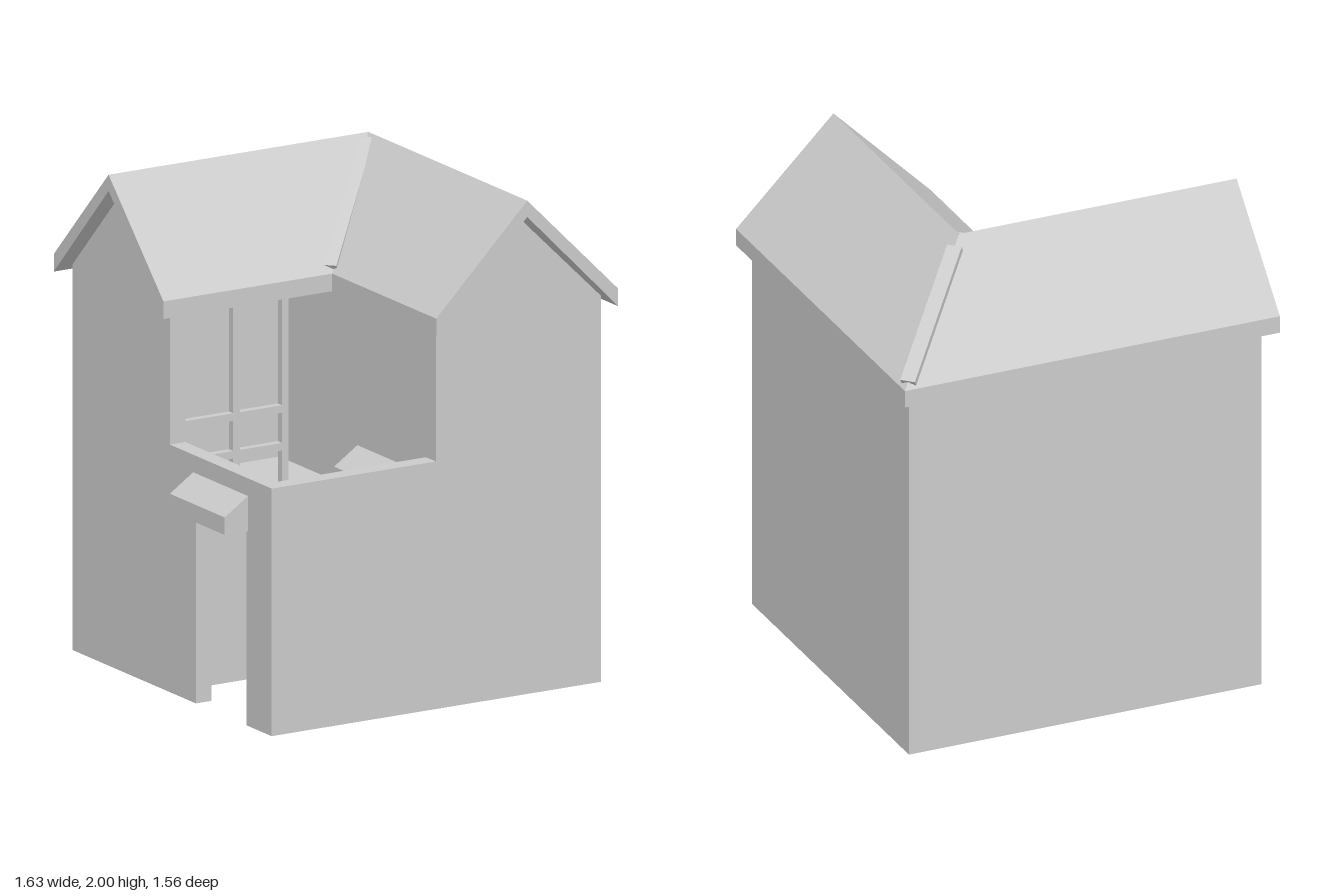
import * as THREE from 'three';

const mat = new THREE.MeshStandardMaterial({ color: 0xcccccc, flatShading: true, side: THREE.DoubleSide });

export function createModel() {
  const house = new THREE.Group();
  house.name = 'courtyardHouse';

  const add = (name, geometry) => {
    const mesh = new THREE.Mesh(geometry, mat);
    mesh.name = name;
    house.add(mesh);
    return mesh;
  };
  // Box given by its min and max on each axis
  const box = (name, x0, x1, y0, y1, z0, z1) =>
    add(name, new THREE.BoxGeometry(x1 - x0, y1 - y0, z1 - z0)
      .translate((x0 + x1) / 2, (y0 + y1) / 2, (z0 + z1) / 2));
  // Flat sheet facing z (points are x, y) or facing x (points are z, y)
  const sheet = (name, axis, at, points) => {
    const g = new THREE.ShapeGeometry(new THREE.Shape(points.map(p => new THREE.Vector2(...p))));
    if (axis === 'x') g.rotateY(-Math.PI / 2).translate(at, 0, 0);
    else g.translate(0, 0, at);
    return add(name, g);
  };
  const rect = (a0, a1, b0, b1) => [[a0, b0], [a1, b0], [a1, b1], [a0, b1]];

  const base = 0.015, top = 1.55, wallTop = 1.0, doorTop = 0.79;
  const W = -0.71, E = 0.775, N = -0.74, S = 0.712; // outer faces
  const cw = -0.64, ce = 0.03, cn = -0.03, cs = 0.64; // courtyard faces
  const d0 = 0.16, d1 = 0.53; // door sides in z

  // House shell, open underneath
  sheet('frontGable', 'z', S, [[ce, base], [E, base], [E, top], [0.4, 1.92], [ce, top]]);
  sheet('sideGable', 'x', W, [[N, base], [cn, base], [cn, top], [-0.38, 1.92], [N, top]]);
  sheet('rightWall', 'x', E, rect(N, S, base, top));
  sheet('backWall', 'z', N, rect(W, E, base, top));
  sheet('courtyardRightWall', 'x', ce, [[cn, base], [d0, base], [d0, doorTop], [d1, doorTop],
    [d1, base], [S, base], [S, top], [cn, top]]);
  sheet('courtyardBackWall', 'z', cn, rect(cw, ce, base, 0.75));
  sheet('galleryPier', 'z', cn, rect(W, cw, base, 1.55));

  // Courtyard wall with a gateway
  box('courtyardFrontWall', W, ce, base, wallTop, cs, S);
  box('gatePierFront', W, cw, base, wallTop, d1, cs);
  box('gatePierBack', W, cw, base, wallTop, cn, d0);
  box('gateLintel', W, cw, doorTop, wallTop, d0, d1);

  // Recessed house door with threshold
  sheet('houseDoor', 'x', 0.1, rect(d0, d1, base, doorTop));
  for (const z of [d0, d1]) sheet('doorJamb', 'z', z, rect(ce, 0.1, base, doorTop));
  box('doorHead', ce, 0.1, doorTop - 0.005, doorTop, d0, d1);
  box('threshold', -0.05, 0.1, 0, base, d0, d1);

  // Sloping hoods over the gate and the house door
  for (const [name, x] of [['gateHood', W], ['doorHood', ce]]) {
    const s = new THREE.Shape([[0, 0.79], [0, 0.93], [-0.105, 0.86], [-0.105, 0.79]]
      .map(p => new THREE.Vector2(...p)));
    add(name, new THREE.ExtrudeGeometry(s, { depth: 0.4, bevelEnabled: false }).translate(x, 0, 0.14));
  }

  // Upper gallery open to the courtyard
  const back = -0.43;
  box('galleryFloor', cw, ce, 0.74, 0.75, back, cn);
  box('galleryCeiling', cw, ce, 1.52, 1.53, back, cn);
  sheet('galleryBackWall', 'z', back, rect(cw, ce, 0.75, 1.52));
  for (const x of [cw, ce]) sheet('gallerySideWall', 'x', x, rect(back, cn, 0.75, 1.52));
  for (const x of [-0.4, -0.18]) box('galleryPost', x, x + 0.03, 0.75, 1.52, -0.1, -0.07);
  for (const y of [0.89, 1.04])
    for (const [x0, x1] of [[cw, -0.4], [-0.37, -0.18]]) box('galleryRail', x0, x1, y, y + 0.03, -0.1, -0.07);

  // Gable profile swept round the corner, giving a hip outside and a valley inside
  const profile = [[-0.4, 1.52], [-0.4, 1.59], [0, 2], [0.4, 1.59], [0.4, 1.52], [0, 1.935]];
  const stations = [
    (d, y) => [0.4 + d * 1.025, y, 0.78],
    (d, y) => [0.4 + d * 1.025, y, -0.38 - d],
    (d, y) => [-0.77, y, -0.38 - d],
  ];
  const pos = [];
  const quad = (a, b, c, d) => pos.push(...a, ...b, ...c, ...a, ...c, ...d);
  for (let s = 0; s < 2; s++)
    profile.forEach((p, i) => {
      const q = profile[(i + 1) % profile.length];
      quad(stations[s](...p), stations[s](...q), stations[s + 1](...q), stations[s + 1](...p));
    });
  // End caps, one quad per slope
  const cap = (f, order) => quad(...order.map(i => f(...profile[i])));
  cap(stations[0], [0, 5, 2, 1]);
  cap(stations[0], [5, 4, 3, 2]);
  cap(stations[2], [1, 2, 5, 0]);
  cap(stations[2], [2, 3, 4, 5]);
  const roof = new THREE.BufferGeometry();
  roof.setAttribute('position', new THREE.Float32BufferAttribute(pos, 3));
  roof.computeVertexNormals();
  add('roof', roof);

  // Thin strips along the valley and the hip
  const strip = (name, a, b) => {
    const from = new THREE.Vector3(...a), to = new THREE.Vector3(...b);
    const m = add(name, new THREE.BoxGeometry(0.06, 0.025, from.distanceTo(to)));
    m.position.copy(from).lerp(to, 0.5);
    m.lookAt(to);
  };
  strip('valleyStrip', [-0.01, 1.61, 0], [0.38, 1.98, -0.36]);
  strip('hipStrip', [0.43, 1.962, -0.41], [0.785, 1.61, -0.755]);

  return house;
}
